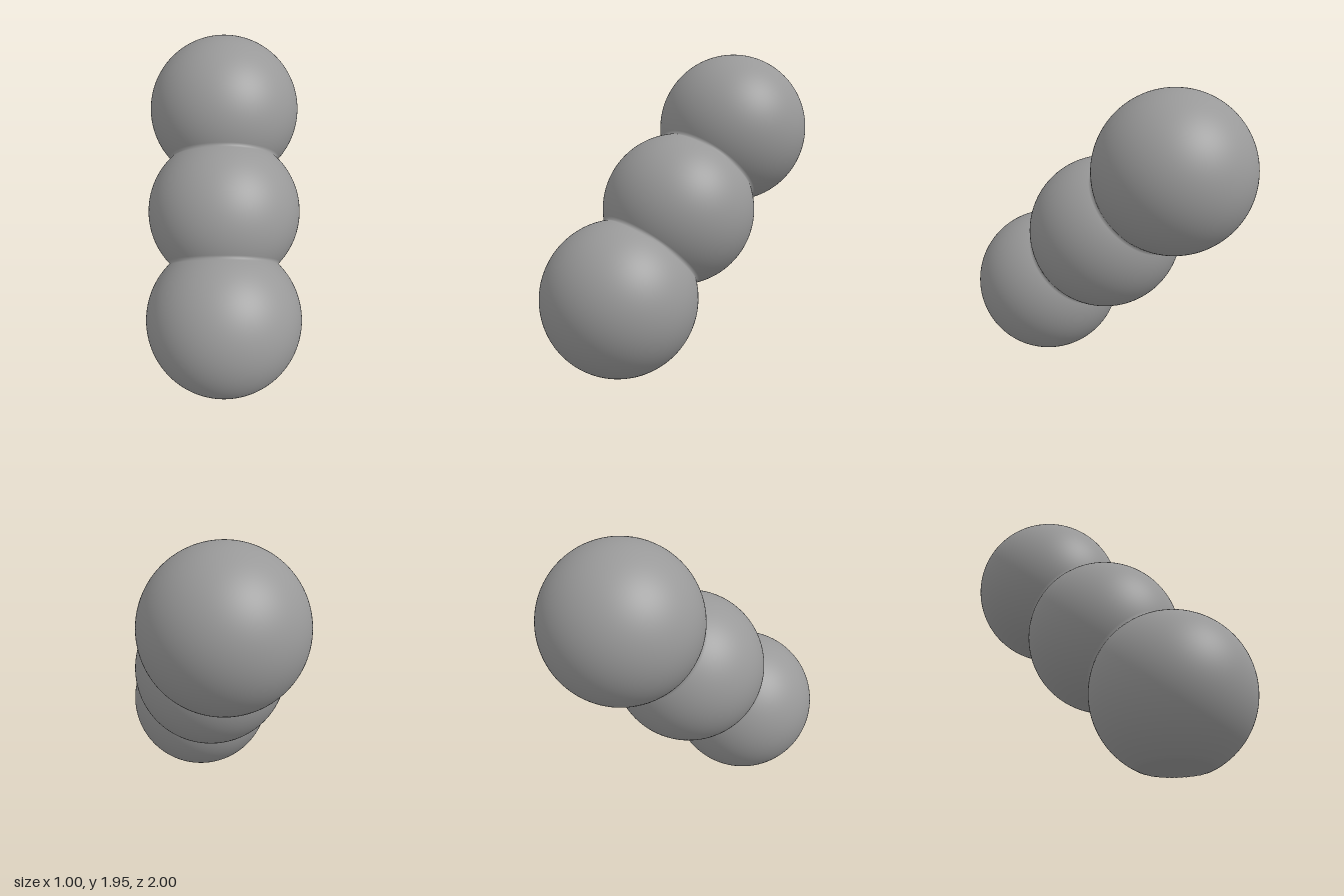
import * as THREE from 'three';

const R = 0.5;
const BASE_DEPTH = 0.45; // flat foot sits this far below the lowest ball's centre
const Q = Math.PI / 4;
const SEGMENTS = 128;

// Ball zone around the leaning axis; neighbours meet 45 degrees from that axis
function ballZone(start, end) {
  const rows = Math.round((end - start) / Q) * 20;
  const g = new THREE.SphereGeometry(R, SEGMENTS, rows, 0, Math.PI * 2, start, end - start);
  const p = g.attributes.position, n = g.attributes.normal;
  // Soft seam: the open rims share a normal that points straight out from the axis
  const softenRim = (row) => {
    for (let i = row * (SEGMENTS + 1); i < (row + 1) * (SEGMENTS + 1); i++) {
      const out = new THREE.Vector3(p.getX(i), 0, p.getZ(i)).normalize();
      n.setXYZ(i, out.x, out.y, out.z);
    }
  };
  if (start > 0) softenRim(0);
  if (end < Math.PI) softenRim(rows);
  return g.rotateX(-Q);
}

// Pull everything below the foot plane back onto it, and shade its edge softly
function flattenFoot(g) {
  const p = g.attributes.position, n = g.attributes.normal;
  const v = new THREE.Vector3(), normal = new THREE.Vector3();
  const down = new THREE.Vector3(0, -1, 0);
  for (let i = 0; i < p.count; i++) {
    v.fromBufferAttribute(p, i);
    const blend = THREE.MathUtils.smoothstep(-v.y, BASE_DEPTH - 0.012, BASE_DEPTH + 0.012);
    if (blend === 0) continue;
    normal.fromBufferAttribute(n, i).lerp(down, blend).normalize();
    n.setXYZ(i, normal.x, normal.y, normal.z);
    v.multiplyScalar(Math.min(1, BASE_DEPTH / -v.y));
    p.setXYZ(i, v.x, v.y, v.z);
  }
  return g;
}

export function createModel() {
  const group = new THREE.Group();
  group.name = 'leaningBallStack';
  const material = new THREE.MeshStandardMaterial({ color: 0x999999 });

  // Three fused balls, each one step up and one step back
  const balls = [
    ['lowerBall', flattenFoot(ballZone(Q, 4 * Q))],
    ['middleBall', ballZone(Q, 3 * Q)],
    ['upperBall', ballZone(0, 3 * Q)],
  ];
  balls.forEach(([name, geometry], i) => {
    const mesh = new THREE.Mesh(geometry, material);
    mesh.name = name;
    mesh.position.set(0, BASE_DEPTH + i * R, R - i * R);
    group.add(mesh);
  });
  return group;
}
